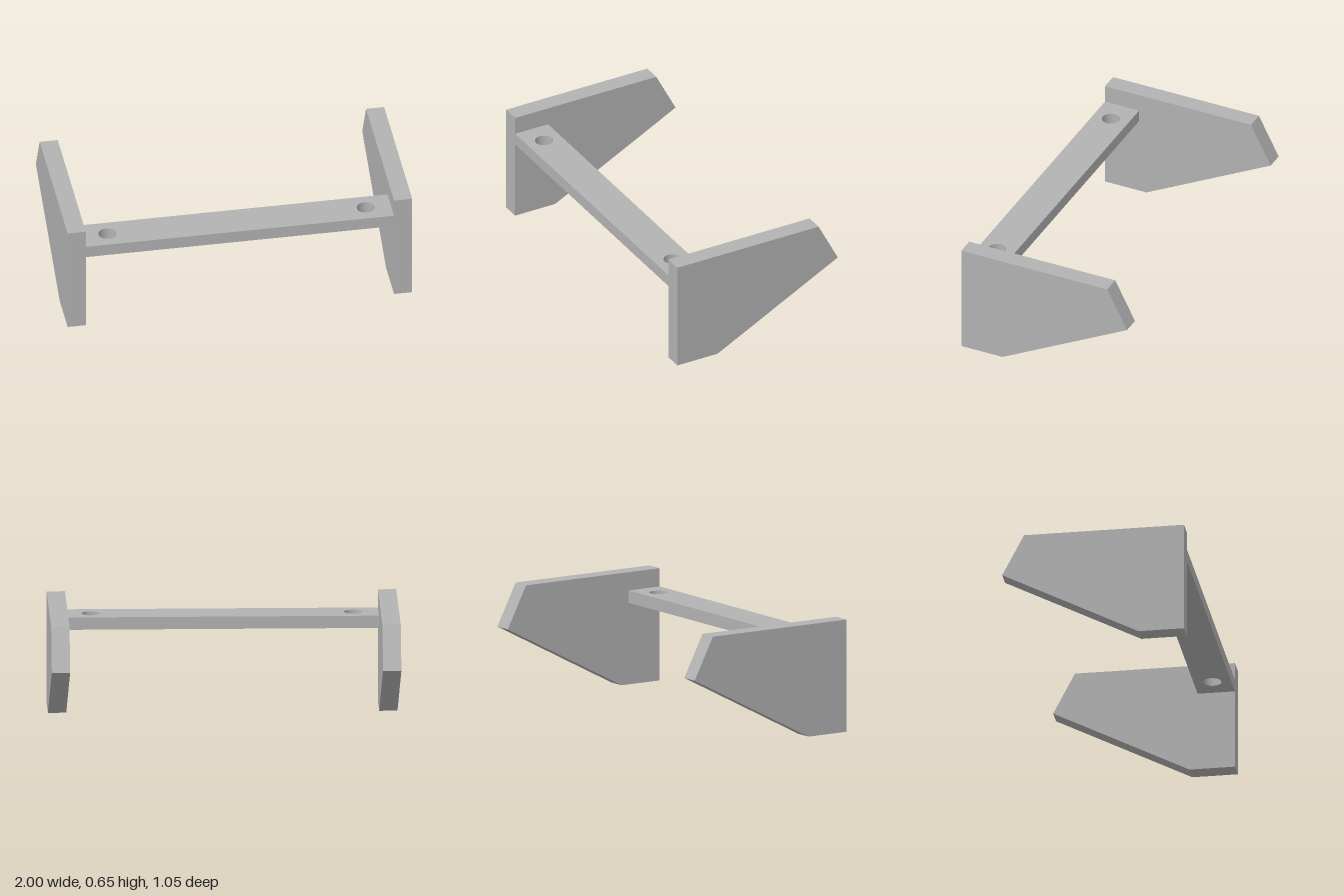
import * as THREE from 'three';
import { toCreasedNormals } from 'three/addons/utils/BufferGeometryUtils.js';

const HALF_WIDTH = 1;
const PLATE = 0.105; // side plate thickness
const FRONT = 0.526; // z of the front edge

export function createModel() {
  const group = new THREE.Group();
  group.name = 'bracket';

  const grey = new THREE.MeshStandardMaterial({ color: 0xb2b2b2 });
  grey.name = 'grey';

  function extrude(shape, depth) {
    return new THREE.ExtrudeGeometry(shape, { depth, bevelEnabled: false, curveSegments: 24 });
  }

  // Side plates: profile drawn in (z, y), extruded along x
  const profile = new THREE.Shape([
    [FRONT, 0], [FRONT, 0.653], [-0.4, 0.653], [-FRONT, 0.41], [0.263, 0],
  ].map(([z, y]) => new THREE.Vector2(z, y)));
  const plateGeometry = extrude(profile, PLATE).rotateY(-Math.PI / 2).translate(PLATE / 2, 0, 0);
  for (const [name, side] of [['leftPlate', 1], ['rightPlate', -1]]) {
    const plate = new THREE.Mesh(plateGeometry, grey);
    plate.name = name;
    plate.position.x = side * (HALF_WIDTH - PLATE / 2);
    group.add(plate);
  }

  // Crossbar with two screw holes: outline drawn in (x, -z), extruded upward
  const half = HALF_WIDTH - PLATE;
  const back = 0.31;
  const outline = new THREE.Shape([
    [-half, -FRONT], [half, -FRONT], [half, -back], [-half, -back],
  ].map(([x, y]) => new THREE.Vector2(x, y)));
  for (const x of [-0.75, 0.75]) {
    outline.holes.push(new THREE.Path().absarc(x, -(FRONT + back) / 2, 0.052, 0, Math.PI * 2, true));
  }
  const barGeometry = toCreasedNormals(extrude(outline, 0.072).rotateX(-Math.PI / 2), 0.6);
  const bar = new THREE.Mesh(barGeometry, grey);
  bar.name = 'crossbar';
  bar.position.y = 0.475;
  group.add(bar);

  return group;
}
